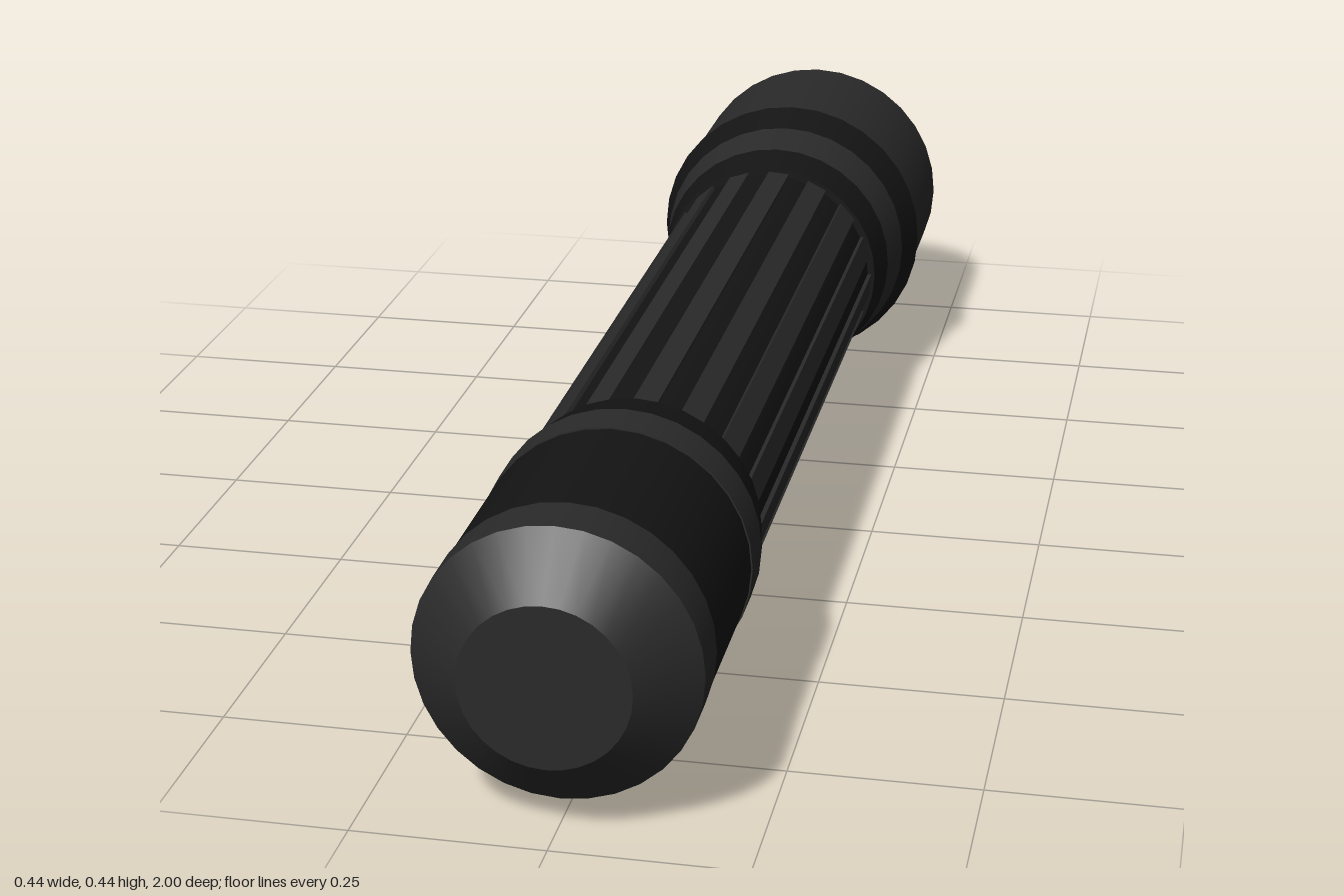
import * as THREE from 'three';
import { mergeGeometries } from 'three/addons/utils/BufferGeometryUtils.js';

const AXIS_Y = 0.218, SIDES = 32, RIBS = 16;

const dark = new THREE.MeshStandardMaterial({ color: 0x141414 });
const light = new THREE.MeshStandardMaterial({ color: 0x2a2a2a });
const glass = new THREE.MeshStandardMaterial({ color: 0x0c0c0c });

// Turned part along z from [radius, z] points; every profile corner stays sharp
function turned(name, points, material) {
  const rings = [];
  for (let i = 0; i < points.length - 1; i++) {
    const pair = [points[i], points[i + 1]].map(([r, z]) => new THREE.Vector2(r, z));
    rings.push(new THREE.LatheGeometry(pair, SIDES));
  }
  const geometry = mergeGeometries(rings).rotateX(Math.PI / 2);
  const mesh = new THREE.Mesh(geometry, material);
  mesh.name = name;
  return mesh;
}

// Lengthwise grip ribs standing slightly proud of the barrel
function gripRibs() {
  const group = new THREE.Group();
  group.name = 'gripRibs';
  const geometry = new THREE.BoxGeometry(0.033, 0.012, 1.02);
  for (let i = 0; i < RIBS; i++) {
    const a = (i / RIBS) * Math.PI * 2 + 0.08;
    const rib = new THREE.Mesh(geometry, light);
    rib.name = 'gripRib';
    rib.position.set(Math.sin(a) * 0.162, Math.cos(a) * 0.162, -0.015);
    rib.rotation.z = -a;
    group.add(rib);
  }
  return group;
}

export function createModel() {
  const flashlight = new THREE.Group();
  flashlight.name = 'flashlight';

  const axis = new THREE.Group();
  axis.name = 'flashlightBody';
  axis.position.y = AXIS_Y;
  flashlight.add(axis);

  axis.add(
    // Recessed lens, sloped reflector and head with a thin rim
    turned('lens', [[0, -0.94], [0.178, -0.94]], glass),
    turned('reflector', [[0.178, -0.94], [0.205, -1]], dark),
    turned('head', [[0.205, -1], [0.212, -1], [0.212, -0.735]], light),
    // Stepped neck between head and barrel
    turned('headFlare', [[0.212, -0.735], [0.218, -0.735], [0.2, -0.67]], dark),
    turned('neckBand', [[0.2, -0.67], [0.187, -0.59]], light),
    turned('neckCollar', [[0.187, -0.59], [0.174, -0.525], [0.162, -0.525]], dark),
    // Ribbed barrel
    turned('barrel', [[0.163, -0.53], [0.163, 0.5]], dark),
    gripRibs(),
    // Tail section
    turned('tailCollar', [[0.162, 0.49], [0.169, 0.49], [0.182, 0.56]], dark),
    turned('tailBand', [[0.182, 0.56], [0.182, 0.625], [0.18, 0.625]], light),
    turned('tailTube', [[0.18, 0.625], [0.18, 0.865]], dark),
    turned('tailCap', [[0.18, 0.865], [0.182, 0.865], [0.182, 0.935], [0.108, 1], [0, 1]], light)
  );
  return flashlight;
}
